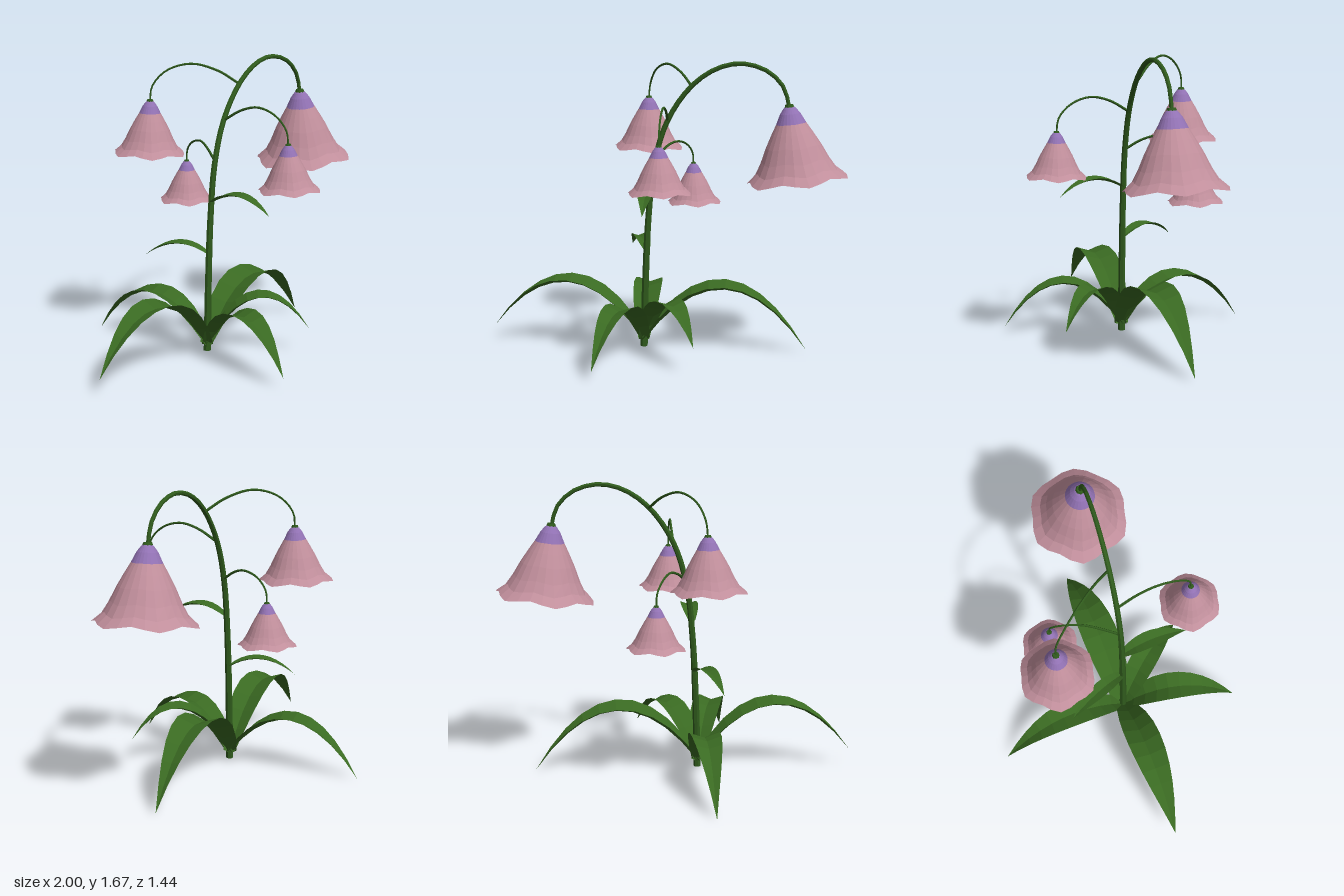
import * as THREE from 'three';

const material = (name, color) => {
  const m = new THREE.MeshStandardMaterial({ color, flatShading: true, side: THREE.DoubleSide });
  m.name = name;
  return m;
};
const V = (a) => new THREE.Vector3(...a);

export function createModel() {
  const green = material('stem green', 0x2f5a1c);
  const leafGreen = material('leaf green', 0x3a6a22);
  const pink = material('petal pink', 0xc08e9b);
  const purple = material('cap purple', 0x9272b4);
  const olive = material('stamen olive', 0x7d6f22);

  const plant = new THREE.Group();
  plant.name = 'bellflowerPlant';
  const add = (parent, name, geometry, mat) => {
    const mesh = new THREE.Mesh(geometry, mat);
    mesh.name = name;
    parent.add(mesh);
    return mesh;
  };

  // Tube through points, tapering from r0 to r1
  function taperedTube(points, r0, r1, segments, sides) {
    const curve = new THREE.CatmullRomCurve3(points.map(V));
    const geo = new THREE.TubeGeometry(curve, segments, 1, sides);
    const pos = geo.attributes.position;
    const v = new THREE.Vector3();
    for (let i = 0; i < pos.count; i++) {
      const u = Math.floor(i / (sides + 1)) / segments;
      const c = curve.getPointAt(u);
      v.fromBufferAttribute(pos, i).sub(c).multiplyScalar(r0 + (r1 - r0) * u).add(c);
      pos.setXYZ(i, v.x, v.y, v.z);
    }
    return geo;
  }

  // Arching leaf with a V-shaped fold along its midrib
  function leaf(name, base, tip, crest, width) {
    const a = V(base), b = V(tip);
    const mid = a.clone().add(b).multiplyScalar(0.5).setY(crest);
    const curve = new THREE.QuadraticBezierCurve3(a, mid, b);
    const side = new THREE.Vector3(b.z - a.z, 0, a.x - b.x).normalize();
    const n = 10, positions = [], index = [];
    for (let i = 0; i <= n; i++) {
      const t = i / n;
      const p = curve.getPoint(t), tangent = curve.getTangent(t);
      const up = tangent.clone().cross(side).normalize();
      if (up.y < 0) up.negate();
      const w = width * Math.sin(Math.PI * (0.12 + 0.88 * Math.pow(t, 0.9)));
      for (const s of [-1, 0, 1]) {
        const q = p.clone().addScaledVector(side, s * w).addScaledVector(up, Math.abs(s) * w * 0.35);
        positions.push(q.x, q.y, q.z);
      }
      if (i < n) {
        for (const k of [0, 1]) {
          const j = i * 3 + k;
          index.push(j, j + 1, j + 3, j + 1, j + 4, j + 3);
        }
      }
    }
    const geo = new THREE.BufferGeometry();
    geo.setAttribute('position', new THREE.Float32BufferAttribute(positions, 3));
    geo.setIndex(index);
    geo.computeVertexNormals();
    add(plant, name, geo, leafGreen);
  }

  // Bell wall: a lathe whose rim is drawn out into six lobes
  function bellWall(profile) {
    const geo = new THREE.LatheGeometry(profile.map(([r, y]) => new THREE.Vector2(r, y)), 24);
    const pos = geo.attributes.position;
    for (let i = 0; i < pos.count; i++) {
      const x = pos.getX(i), y = pos.getY(i), z = pos.getZ(i);
      const lobe = Math.cos(6 * Math.atan2(z, x)) * Math.pow(Math.min(1, -y / 0.41), 2);
      const k = 1 + 0.05 * lobe;
      pos.setXYZ(i, x * k, y - 0.012 * lobe, z * k);
    }
    geo.computeVertexNormals();
    return geo;
  }
  const capGeo = bellWall([[0.022, 0], [0.035, -0.012], [0.056, -0.04], [0.083, -0.095]]);
  const skirtGeo = bellWall([[0.083, -0.095], [0.115, -0.15], [0.153, -0.22],
    [0.19, -0.3], [0.225, -0.36], [0.277, -0.405]]);

  function flower(name, top, scale, axis) {
    const g = new THREE.Group();
    g.name = name;
    add(g, 'bellCap', capGeo, purple);
    add(g, 'bellSkirt', skirtGeo, pink);
    add(g, 'calyx', new THREE.CylinderGeometry(0.022, 0.03, 0.02, 8), green);
    // Ring of stamens around a central pistil
    for (let i = 0; i < 7; i++) {
      const a = i * Math.PI / 3, r = i < 6 ? 0.06 : 0, end = i < 6 ? -0.35 - 0.02 * (i % 2) : -0.39;
      const x = Math.cos(a) * r, z = Math.sin(a) * r;
      add(g, 'filament', taperedTube([[x * 0.2, -0.03, z * 0.2], [x * 0.55, -0.2, z * 0.55], [x, end, z]],
        0.004, 0.003, 4, 4), olive);
      const anther = add(g, 'anther', new THREE.SphereGeometry(0.009, 6, 4), olive);
      anther.scale.y = 2.4;
      anther.position.set(x, end, z);
    }
    g.scale.setScalar(scale);
    g.position.set(...top);
    g.quaternion.setFromUnitVectors(new THREE.Vector3(0, -1, 0), V(axis).normalize());
    plant.add(g);
  }

  // Main stem, lying in one slanted vertical plane
  const stemPath = [[-0.14, 0.015], [-0.13, 0.4], [-0.11, 0.8], [-0.075, 1.1], [0, 1.34], [0.13, 1.53],
    [0.27, 1.63], [0.41, 1.66], [0.55, 1.62], [0.64, 1.53], [0.67, 1.42]]
    .map(([x, y]) => [x, y, 0.03 - 0.185 * (x + 0.14)]);
  add(plant, 'mainStem', taperedTube(stemPath, 0.022, 0.011, 36, 7), green);

  // Side branches
  const branches = [
    [[0.13, 1.53, -0.03], [0.04, 1.6, -0.1], [-0.08, 1.64, -0.19], [-0.19, 1.6, -0.28], [-0.25, 1.51, -0.335], [-0.262, 1.42, -0.34]],
    [[0, 1.34, 0.01], [0.035, 1.405, 0.12], [0.065, 1.43, 0.23], [0.095, 1.395, 0.34], [0.115, 1.32, 0.41], [0.118, 1.235, 0.423]],
    [[-0.07, 1.11, 0.02], [-0.05, 1.17, -0.08], [-0.025, 1.195, -0.18], [-0.005, 1.17, -0.29], [0.01, 1.11, -0.36], [0.012, 1.04, -0.37]],
  ];
  for (const path of branches) add(plant, 'branch', taperedTube(path, 0.008, 0.005, 20, 5), green);

  // Flowers
  flower('largeFlower', [0.67, 1.43, -0.12], 1, [0.11, -1, -0.04]);
  flower('backLeftFlower', [-0.262, 1.43, -0.34], 0.73, [-0.02, -1, -0.02]);
  flower('frontFlower', [0.118, 1.245, 0.423], 0.61, [0.02, -1, 0.02]);
  flower('backFlower', [0.012, 1.045, -0.37], 0.57, [0.01, -1, -0.02]);

  // Basal rosette and stem leaves
  const root = [-0.14, 0.05, 0.03];
  leaf('basalLeaf', root, [-1, 0.11, 0.25], 0.68, 0.1);
  leaf('basalLeaf', root, [0.76, 0.015, -0.24], 0.69, 0.11);
  leaf('basalLeaf', root, [-0.15, 0.06, 0.72], 0.56, 0.085);
  leaf('basalLeaf', root, [-0.39, 0, -0.72], 0.57, 0.085);
  leaf('basalLeaf', root, [0.31, 0.155, 0.4], 0.56, 0.08);
  leaf('stemLeaf', [-0.122, 0.58, 0.025], [-0.35, 0.545, -0.29], 0.7, 0.045);
  leaf('stemLeaf', [-0.105, 0.88, 0.025], [0.01, 0.855, 0.4], 1.01, 0.05);
  return plant;
}
